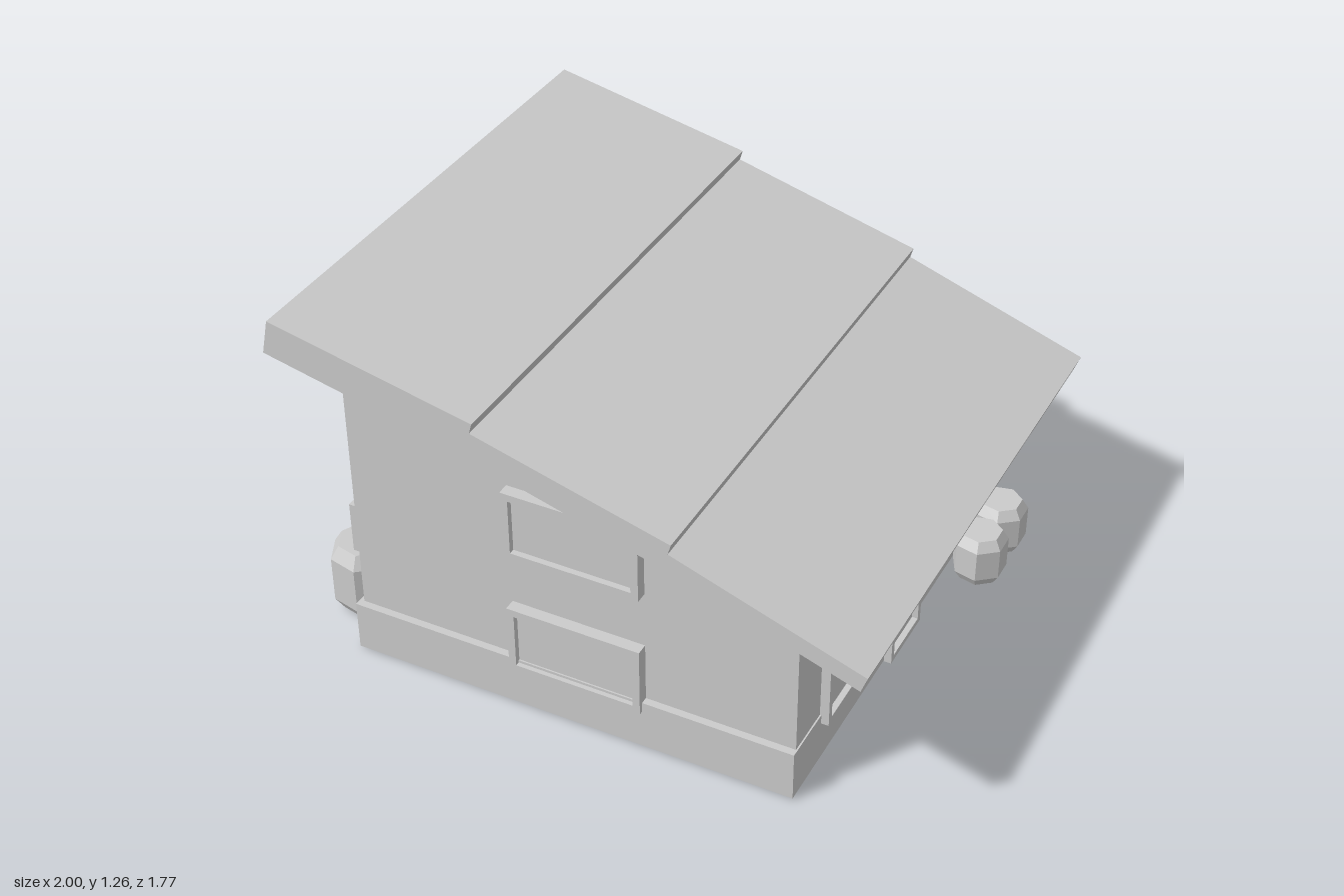
import * as THREE from 'three';

const material = new THREE.MeshStandardMaterial({ color: 0xcccccc, flatShading: true });

function add(parent, name, geometry, x = 0, y = 0, z = 0) {
  const mesh = new THREE.Mesh(geometry, material);
  mesh.name = name;
  mesh.position.set(x, y, z);
  parent.add(mesh);
  return mesh;
}

// Box given by its minimum and maximum corners
function addBox(parent, name, [x0, y0, z0], [x1, y1, z1]) {
  return add(parent, name, new THREE.BoxGeometry(x1 - x0, y1 - y0, z1 - z0),
    (x0 + x1) / 2, (y0 + y1) / 2, (z0 + z1) / 2);
}

// Side profile in x and y, extruded from z0 to z1
function addProfile(parent, name, points, z0, z1) {
  const shape = new THREE.Shape(points.map(p => new THREE.Vector2(...p)));
  return add(parent, name, new THREE.ExtrudeGeometry(shape, { depth: z1 - z0, bevelEnabled: false }), 0, 0, z0);
}

// Framed opening facing +z; its outer face lies at z = 0
function framedPanel(name, width, height, border, depth) {
  const group = new THREE.Group();
  group.name = name;
  const rect = (Type, w, h) => new Type([[-w, -h], [w, -h], [w, h], [-w, h]].map(p => new THREE.Vector2(p[0] / 2, p[1] / 2)));
  const w = width - 2 * border, h = height - 2 * border;
  const frame = rect(THREE.Shape, width, height);
  frame.holes.push(rect(THREE.Path, w, h));
  add(group, name + 'Frame', new THREE.ExtrudeGeometry(frame, { depth, bevelEnabled: false }), 0, 0, -depth);
  add(group, name + 'Pane', new THREE.BoxGeometry(w, h, depth - 0.02), 0, 0, -0.02 - (depth - 0.02) / 2);
  return group;
}

// Faceted shrub with chamfered top and bottom
function addBush(parent, name, x, z, radius, height, chamfer, turn) {
  const r = radius * 0.76;
  const profile = [[0, 0], [r, 0], [radius, chamfer], [radius, height - chamfer], [r, height], [0, height]];
  const bush = add(parent, name, new THREE.LatheGeometry(profile.map(p => new THREE.Vector2(...p)), 7), x, 0.005, z);
  bush.rotation.y = turn;
}

export function createModel() {
  const house = new THREE.Group();
  house.name = 'house';

  // Walls under the sloping roof, and the plinth
  addProfile(house, 'walls', [[-0.77, 0.01], [0.74, 0.01], [0.74, 0.685], [0.38, 0.81], [-0.33, 1.01], [-0.77, 1.11]], -0.735, 0.775);
  addBox(house, 'plinth', [-0.785, 0.005, -0.76], [0.745, 0.18, 0.8]);

  // Tall side: horizontal band and the panel above it
  addBox(house, 'wallBand', [-0.79, 0.38, -0.735], [-0.76, 0.56, 0.775]);
  addBox(house, 'upperWallPanel', [-0.785, 0.56, -0.705], [-0.76, 1.1, 0.745]);

  // Roof with two stepped overlaps
  addProfile(house, 'roof', [
    [-0.96, 1.14], [-0.33, 1.0], [0.38, 0.8], [0.975, 0.595], [0.995, 0.65],
    [0.375, 0.865], [0.385, 0.9], [-0.26, 1.075], [-0.25, 1.11], [-0.935, 1.257],
  ], -0.885, 0.885);

  // Two windows each on the front and back walls
  for (const y of [0.268, 0.71]) {
    const front = framedPanel('frontWindow', 0.455, 0.244, 0.025, 0.06);
    front.position.set(0.013, y, 0.815);
    const back = framedPanel('backWindow', 0.455, 0.244, 0.025, 0.06);
    back.position.set(0.013, y, -0.772);
    back.rotation.y = Math.PI;
    house.add(front, back);
  }

  // Door and windows on the low side
  const sideParts = [
    ['lowerSideWindow', 0.345, 0.244, 0.268, 0.432],
    ['upperSideWindow', 0.345, 0.244, 0.54, -0.432],
    ['door', 0.24, 0.348, 0.174, -0.015],
  ];
  for (const [name, width, height, y, z] of sideParts) {
    const part = framedPanel(name, width, height, 0.021, 0.08);
    part.position.set(0.77, y, z);
    part.rotation.y = Math.PI / 2;
    house.add(part);
  }

  // Two large shrubs on the tall side, two small ones on the low side
  for (const z of [0.32, 0.59]) addBush(house, 'largeBush', -0.88, z, 0.12, 0.255, 0.045, -Math.PI / 2);
  for (const z of [-0.445, -0.63]) addBush(house, 'smallBush', 0.852, z, 0.092, 0.18, 0.035, -Math.PI / 2);

  return house;
}
